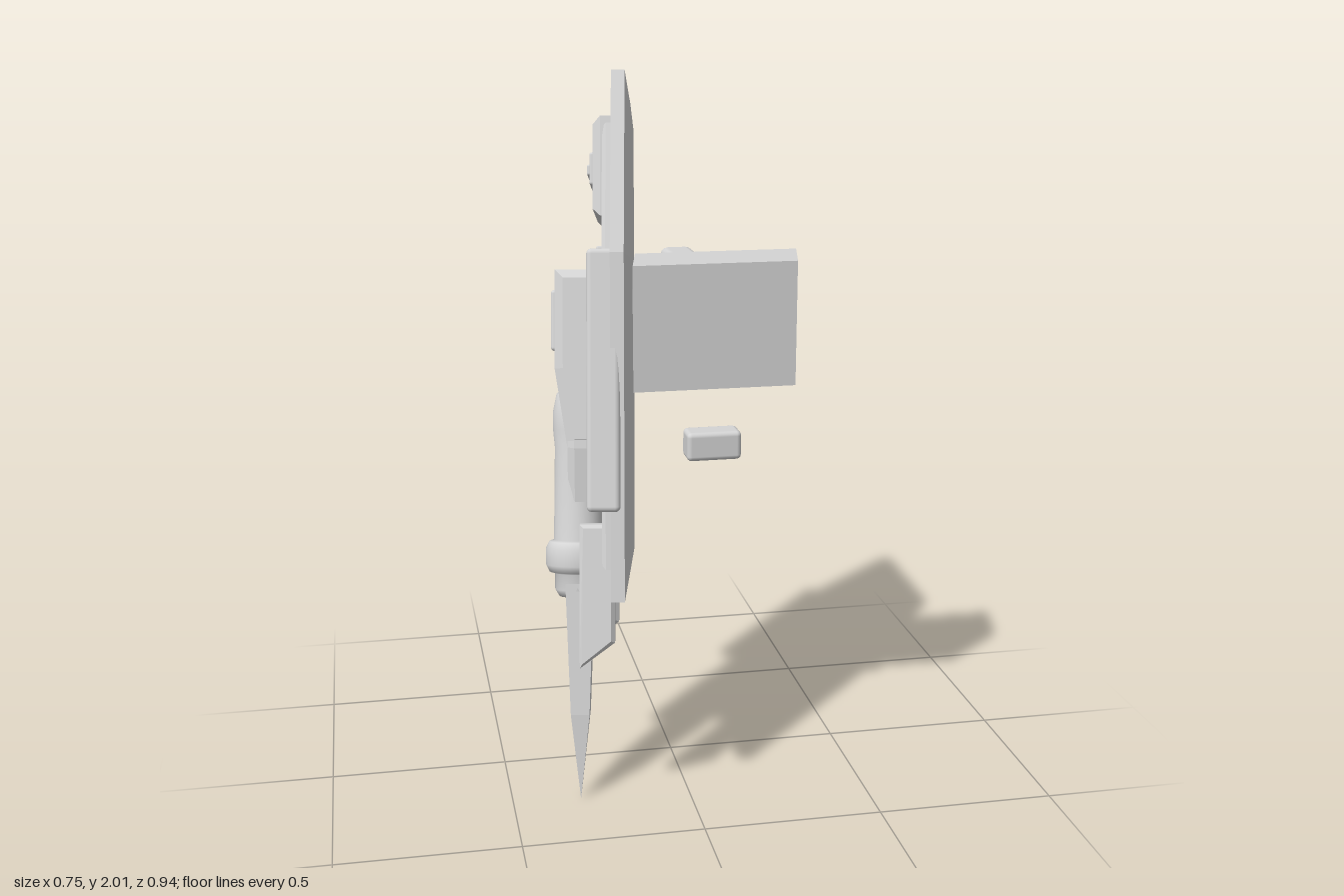
import * as THREE from 'three';
import { RoundedBoxGeometry } from 'three/addons/geometries/RoundedBoxGeometry.js';

const grey = new THREE.MeshStandardMaterial({ color: 0xd4d4d4 });
grey.name = 'plain grey';

function add(parent, name, geometry) {
  const mesh = new THREE.Mesh(geometry, grey);
  mesh.name = name;
  parent.add(mesh);
  return mesh;
}

// Softly bevelled block given by its extents
function block(parent, name, [x0, x1], [y0, y1], [z0, z1], r = 0.012) {
  const mesh = add(parent, name, new RoundedBoxGeometry(x1 - x0, y1 - y0, z1 - z0, 2, r));
  mesh.position.set((x0 + x1) / 2, (y0 + y1) / 2, (z0 + z1) / 2);
  return mesh;
}

function extrude(points, depth, bevel = 0, thickness = bevel) {
  const shape = new THREE.Shape(points.map(([x, y]) => new THREE.Vector2(x, y)));
  return new THREE.ExtrudeGeometry(shape, {
    depth, bevelEnabled: bevel > 0, bevelSize: bevel, bevelThickness: thickness, bevelOffset: -bevel, bevelSegments: 1,
  });
}

// Side profile given as [z, y], swept across x and centred on x = 0
const sweep = (points, width, bevel) =>
  extrude(points, width - 2 * bevel, bevel).translate(0, 0, bevel - width / 2).rotateY(-Math.PI / 2);

// Right half of an outline, top to bottom, completed by its mirror image
const mirrored = (half) => [...half.map(([x, y]) => [-x, y]), ...half.slice().reverse()];

export function createModel() {
  const model = new THREE.Group();
  model.name = 'armShield';

  // Shield frame: x across, y along its axis, z outward from the arm
  const shield = new THREE.Group();
  shield.name = 'shield';
  shield.position.set(-0.12, 1.244, -0.022);
  shield.rotation.set(0, THREE.MathUtils.degToRad(-100.6), THREE.MathUtils.degToRad(14));
  model.add(shield);

  // Main plate, its slightly raised inner face and the layer on its outside
  const outline = mirrored([[0.283, 0.706], [0.408, 0.216], [0.345, -0.694]]);
  add(shield, 'mainPlate', extrude(outline, 0.036));
  add(shield, 'innerFace', extrude(outline, 0.002, 0.08, 0.014));
  const layer = add(shield, 'raisedPanel', extrude(mirrored([[0.2, 0.58], [0.28, 0.2], [0.25, -0.62]]), 0.02, 0.01));
  layer.position.z = 0.033;

  // Upper plaque with a slot bar
  add(shield, 'upperPlaque', extrude(mirrored([[0.195, 0.6], [0.205, 0.33]]), 0.036, 0.022)).position.z = 0.032;
  block(shield, 'slotFrame', [-0.14, 0.14], [0.42, 0.51], [0.08, 0.1], 0.008);
  block(shield, 'slotBar', [-0.11, 0.11], [0.45, 0.48], [0.09, 0.108], 0.006);

  // Side rails and lower fins, in pairs
  for (const s of [-1, 1]) {
    const rail = block(shield, 'sideRail', [-0.033, 0.033], [-0.455, 0.228], [0.01, 0.098], 0.014);
    rail.position.x = s * 0.358;
    const fin = add(shield, 'lowerFin',
      sweep([[0.03, -0.5], [0.03, -0.82], [0.125, -0.89], [0.125, -0.5]], 0.06, 0.01));
    fin.position.x = s * 0.2;
  }

  // Central housing, with a cradle that narrows under the barrel
  add(shield, 'housing',
    sweep([[0.03, 0.195], [0.03, -0.3], [0.165, -0.3], [0.2, -0.08], [0.2, 0.195]], 0.2, 0.024));
  const cradle = add(shield, 'barrelCradle',
    extrude(mirrored([[0.099, 0], [0.099, -0.3], [0.07, -0.45]]), 0.1, 0.02));
  cradle.position.z = 0.045;
  block(shield, 'housingHatch', [-0.055, 0.055], [-0.03, 0.14], [0.18, 0.212], 0.01);
  block(shield, 'lug', [0.05, 0.07], [0.19, 0.26], [0.04, 0.085], 0.006);

  // Barrel with a rounded head, a collar and an end cap
  const profile = [[0, -0.72], [0.055, -0.72], [0.067, -0.7], [0.067, -0.655], [0.083, -0.65], [0.093, -0.63],
    [0.093, -0.585], [0.083, -0.565], [0.07, -0.56], [0.067, -0.3], [0.072, -0.25], [0.072, -0.2],
    [0.062, -0.15], [0.04, -0.125], [0, -0.12]];
  const barrel = add(shield, 'barrel', new THREE.LatheGeometry(profile.map(([x, y]) => new THREE.Vector2(x, y)), 28));
  barrel.position.z = 0.138;

  // Four-sided blade: a long shank and a tapering point
  const blade = new THREE.Group();
  blade.name = 'blade';
  blade.position.set(0.004, 0, 0.133);
  shield.add(blade);
  for (const [top, bottom, y0, y1] of [[0.09, 0.06, -0.68, -1.05], [0.06, 0, -1.05, -1.297]]) {
    const g = new THREE.CylinderGeometry(top, bottom, y0 - y1, 4, 1, true).rotateY(Math.PI / 4).toNonIndexed();
    g.scale(1, 1, 0.62);
    g.computeVertexNormals();
    add(blade, 'bladeSection', g).position.y = (y0 + y1) / 2;
  }

  // Arm mount on the inner side, with slanted ends
  const mount = add(model, 'armMount',
    extrude([[-0.132, -0.147], [0.326, -0.147], [0.374, 0.052], [-0.092, 0.052]], 0.35).rotateX(-Math.PI / 2));
  mount.position.y = 1.135;
  block(model, 'mountClamp', [0, 0.094], [1.131, 1.483], [-0.178, 0.045], 0.022);
  block(model, 'clampSpacer', [-0.09, 0.02], [1.19, 1.43], [-0.138, -0.03], 0.015);

  // Separate hand grip
  block(model, 'handGrip', [0.038, 0.196], [0.9, 0.984], [-0.02, 0.06], 0.014);

  return model;
}
